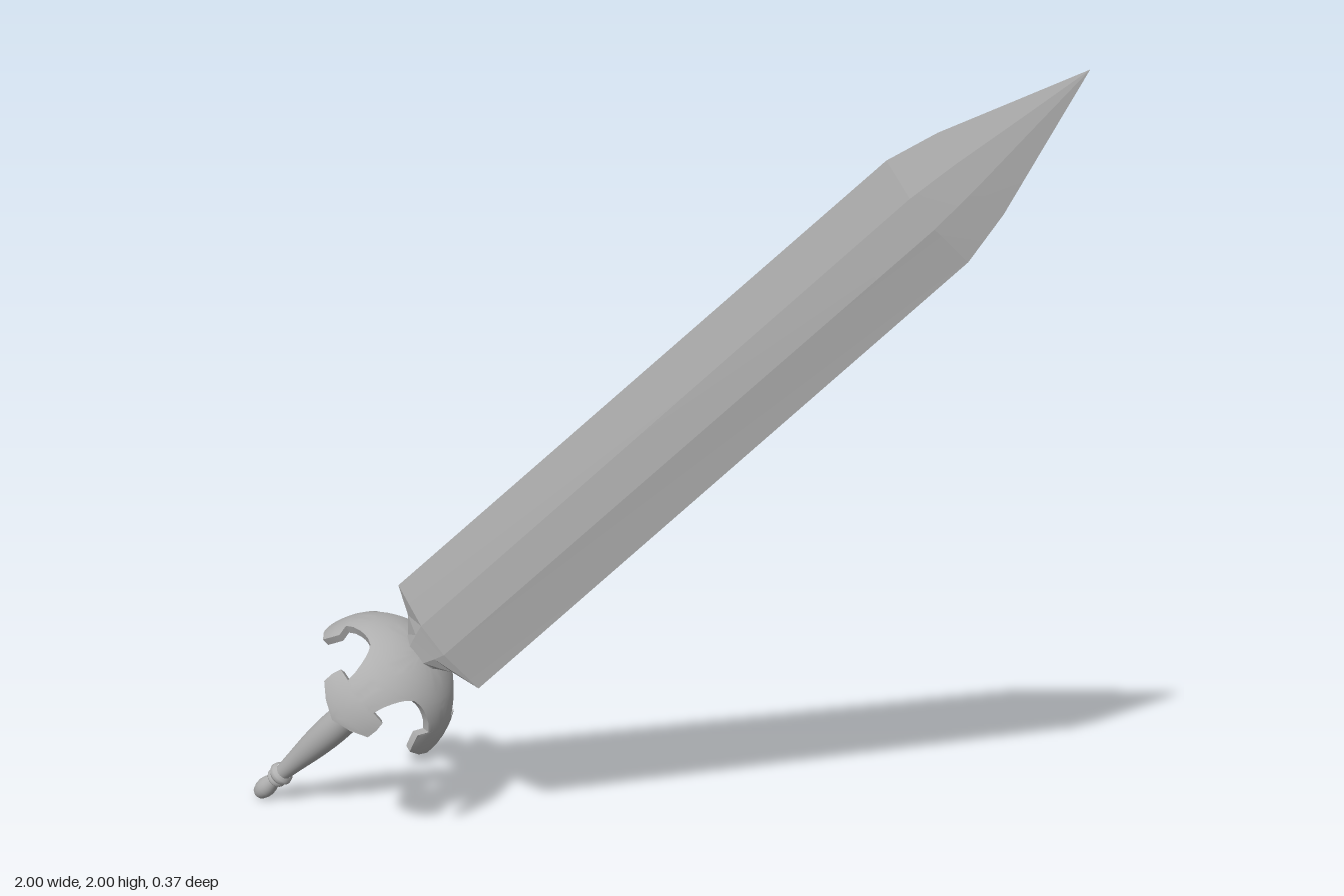
import * as THREE from 'three';
import { mergeGeometries, toCreasedNormals } from 'three/addons/utils/BufferGeometryUtils.js';

// Skin between closed loops of points, one loop per cross-section
function loft(loops) {
  const n = loops[0].length, index = [];
  for (let r = 0; r < loops.length - 1; r++) {
    for (let i = 0; i < n; i++) {
      const a = r * n + i, b = r * n + (i + 1) % n, c = a + n, d = b + n;
      index.push(a, c, b, b, c, d);
    }
  }
  const geometry = new THREE.BufferGeometry();
  geometry.setAttribute('position', new THREE.Float32BufferAttribute(loops.flat(2), 3));
  geometry.setIndex(index);
  return geometry;
}

// Six-sided blade: [height, half width, half thickness, half width of flat]
function bladeGeometry() {
  const rows = [
    [0.685, 0.045, 0.02, 0.025],
    [0.7, 0.05, 0.02, 0.025],
    [0.735, 0.083, 0.022, 0.035],
    [0.767, 0.149, 0.025, 0.042],
    [2.39, 0.126, 0.025, 0.038],
    [2.51, 0.1, 0.019, 0.03],
    [2.664, 0.051, 0.0095, 0.015],
    [2.825, 0, 0, 0],
  ];
  const loops = rows.map(([y, w, t, b]) => [
    [w, y, 0], [b, y, t], [-b, y, t], [-w, y, 0], [-b, y, -t], [b, y, -t],
  ]);
  return toCreasedNormals(loft(loops), 0.05);
}

// Quarter of the domed guard, running out to a barbed claw
function clawGeometry(turn) {
  const radius = 0.187, thickness = 0.019, centre = 0.515, steps = 12;
  // [angle from the apex, half spread around the axis], in degrees
  const rows = [
    [0, 45], [8, 45], [16, 45], [24, 45], [32, 45], [38, 45], [40, 36], [43, 30], [47, 25],
    [53, 20], [60, 17], [62, 28], [69, 28], [77, 26.5], [82, 14], [87, 0],
  ];
  const loops = rows.map(([polar, spread]) => {
    const p = THREE.MathUtils.degToRad(polar);
    const point = (u, r) => {
      const a = turn + u * THREE.MathUtils.degToRad(spread);
      return [r * Math.sin(p) * Math.cos(a), centre + r * Math.cos(p), r * Math.sin(p) * Math.sin(a)];
    };
    const loop = [];
    for (let i = 0; i <= steps; i++) loop.push(point(1 - 2 * i / steps, radius));
    for (let i = 0; i <= steps; i++) loop.push(point(2 * i / steps - 1, radius - thickness));
    return loop;
  });
  return loft(loops);
}

const lathe = (points) =>
  new THREE.LatheGeometry(points.map(([r, y]) => new THREE.Vector2(r, y)), 32);

export function createModel() {
  const steel = new THREE.MeshStandardMaterial({ color: 0xb0b0b0 });
  steel.name = 'grey steel';

  // Sword built upright along y, then tilted onto the diagonal
  const sword = new THREE.Group();
  sword.name = 'sword';
  const add = (name, geometry) => {
    const mesh = new THREE.Mesh(geometry, steel);
    mesh.name = name;
    sword.add(mesh);
  };

  add('blade', bladeGeometry());

  const claws = [0, 1, 2, 3].map((i) => clawGeometry(i * Math.PI / 2));
  add('clawedGuard', toCreasedNormals(mergeGeometries(claws), 0.6));

  add('pommel', lathe([
    [0, 0.004], [0.01, 0.007], [0.018, 0.016], [0.023, 0.032], [0.024, 0.045],
    [0.022, 0.06], [0.018, 0.075], [0.016, 0.088],
  ]));
  add('collar', lathe([
    [0.016, 0.082], [0.022, 0.085], [0.025, 0.09], [0.022, 0.096], [0.02, 0.1],
    [0.026, 0.103], [0.03, 0.11], [0.028, 0.118], [0.021, 0.124],
  ]));

  // Swelling grip
  const grip = new THREE.SplineCurve([
    [0.02, 0.12], [0.026, 0.18], [0.034, 0.26], [0.038, 0.34], [0.036, 0.43], [0.031, 0.52], [0.028, 0.69],
  ].map(([r, y]) => new THREE.Vector2(r, y)));
  add('grip', new THREE.LatheGeometry(grip.getPoints(24), 32));

  sword.rotation.z = -Math.PI / 4;
  sword.position.set(-1, 0, 0);

  const model = new THREE.Group();
  model.name = 'tiltedSword';
  model.add(sword);
  return model;
}
